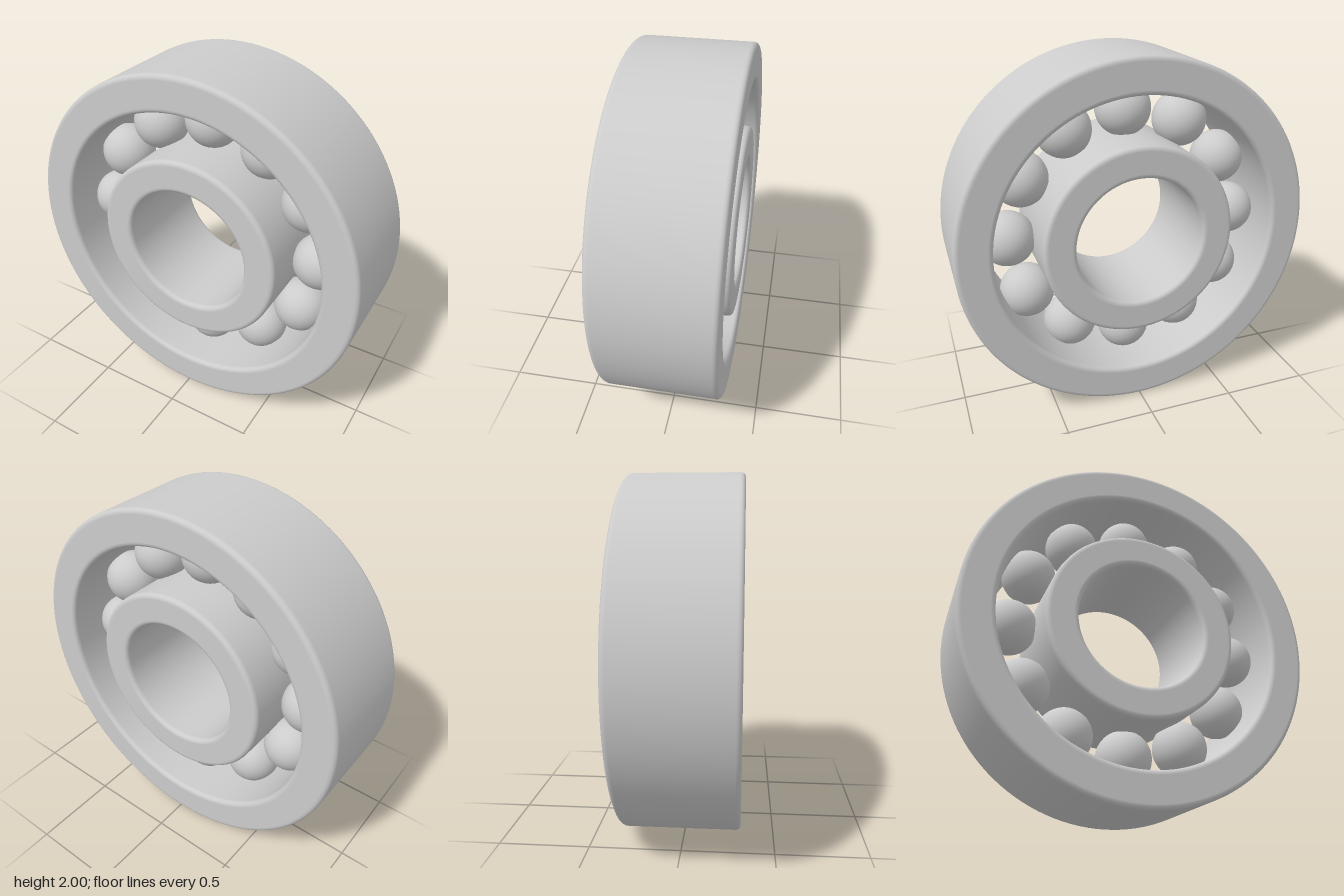
import * as THREE from 'three';

const HALF_WIDTH = 0.317;
const BEVEL = 0.025;
const BALLS = 12;
const PITCH = 0.675;
const BALL_RADIUS = 0.155;

// Closed ring with rounded edges, turned around the z axis
function ring(name, inner, outer, material) {
  const points = [new THREE.Vector2(outer, 0)];
  const corners = [[outer, 1, 1], [inner, -1, 1], [inner, -1, -1], [outer, 1, -1]];
  const steps = 5;
  const hold = 0.004; // support loops keep the flat faces evenly shaded
  corners.forEach(([radius, sx, sy], k) => {
    const cx = radius - sx * BEVEL, cy = sy * (HALF_WIDTH - BEVEL);
    const add = (angle, slide) => points.push(new THREE.Vector2(
      cx + BEVEL * Math.cos(angle) - slide * Math.sin(angle),
      cy + BEVEL * Math.sin(angle) + slide * Math.cos(angle)));
    const start = k * Math.PI / 2;
    add(start, -hold);
    for (let i = 0; i <= steps; i++) add(start + (i / steps) * Math.PI / 2, 0);
    add(start + Math.PI / 2, hold);
  });
  points.push(new THREE.Vector2(outer, 0));
  const mesh = new THREE.Mesh(new THREE.LatheGeometry(points, 128), material);
  mesh.rotation.x = Math.PI / 2;
  mesh.name = name;
  return mesh;
}

export function createModel() {
  const material = new THREE.MeshStandardMaterial({ color: 0xcccccc });
  const bearing = new THREE.Group();
  bearing.name = 'ballBearing';
  bearing.position.y = 1;

  // Outer and inner races
  bearing.add(ring('outerRing', 0.8, 1, material));
  bearing.add(ring('innerRing', 0.365, 0.545, material));

  // Balls seated between the races
  const balls = new THREE.Group();
  balls.name = 'balls';
  const ballGeometry = new THREE.SphereGeometry(BALL_RADIUS, 40, 24);
  for (let i = 0; i < BALLS; i++) {
    const angle = (i / BALLS) * Math.PI * 2;
    const ball = new THREE.Mesh(ballGeometry, material);
    ball.name = `ball${i + 1}`;
    ball.position.set(PITCH * Math.cos(angle), PITCH * Math.sin(angle), 0);
    balls.add(ball);
  }
  bearing.add(balls);

  const model = new THREE.Group();
  model.add(bearing);
  return model;
}
